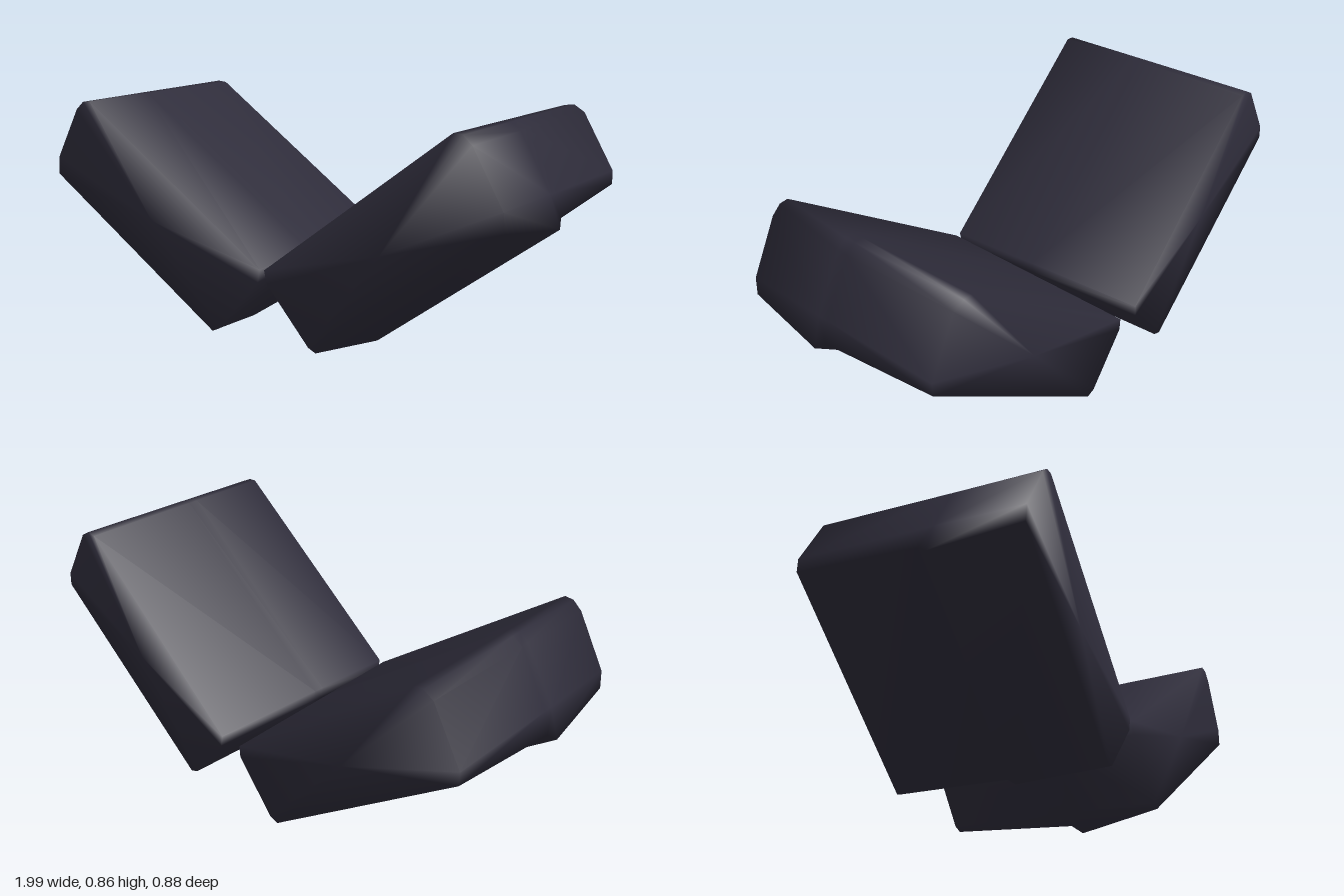
import * as THREE from 'three';

// Cross-sections of one slab from front to back. u runs along the slab,
// v is its thickness; loops go counter-clockwise from the inner top corner.
const front = [[0.184, 0.237], [0.163, 0.191], [0.19, -0.077], [0.207, -0.107], [1.10, -0.107],
  [1.135, -0.05], [1.16, 0.17], [1.15, 0.215], [1.125, 0.237]];
const back = [[0.222, 0.228], [0.2, 0.19], [0.21, -0.05], [0.23, -0.08], [1.136, -0.094],
  [1.165, -0.054], [1.19, 0.176], [1.172, 0.219], [1.14, 0.237]];

// Blend between the ends, with its own pair of lower corners
function middle(t, innerLow, outerLow) {
  const loop = front.map(([u, v], i) => [u + (back[i][0] - u) * t, v + (back[i][1] - v) * t]);
  loop[3] = innerLow;
  loop[4] = outerLow;
  return loop;
}

const sections = [
  { z: 0.39, loop: front },
  { z: 0.068, loop: middle(0.4, [0.234, -0.163], [1.111, -0.163]) }, // lip of the thicker front half
  { z: 0.028, loop: middle(0.45, [0.24, -0.13], [1.117, -0.13]) }, // foot of the step
  { z: -0.44, loop: back },
];

function slabGeometry(side) {
  const angle = Math.atan2(0.587, 0.81);
  const c = Math.cos(angle), s = Math.sin(angle);
  const positions = [], index = [];
  const put = (u, v, z) => positions.push(
    side * (u * c - v * s), u * s + v * c - 0.005, z + 0.05 * (u - 0.17));
  const tri = (a, b, d) => index.push(...(side > 0 ? [a, b, d] : [a, d, b]));
  const n = front.length;

  for (const { z, loop } of sections) for (const [u, v] of loop) put(u, v, z);
  // Skin between neighbouring sections
  for (let k = 0; k < sections.length - 1; k++) {
    for (let i = 0; i < n; i++) {
      const j = (i + 1) % n, f = k * n, b = f + n;
      tri(f + i, b + i, f + j);
      tri(f + j, b + i, b + j);
    }
  }
  // End caps fan out from a centre point
  const frontCentre = sections.length * n, last = frontCentre - n;
  put(0.65, 0.05, 0.39);
  put(0.68, 0.06, -0.44);
  for (let i = 0; i < n; i++) {
    const j = (i + 1) % n;
    tri(frontCentre, i, j);
    tri(frontCentre + 1, last + j, last + i);
  }

  const geometry = new THREE.BufferGeometry();
  geometry.setAttribute('position', new THREE.Float32BufferAttribute(positions, 3));
  geometry.setIndex(index);
  geometry.computeVertexNormals();
  return geometry;
}

export function createModel() {
  const group = new THREE.Group();
  group.name = 'slantedSlabPair';
  const darkSlate = new THREE.MeshStandardMaterial({ color: 0x2e2c3a });
  darkSlate.name = 'dark slate';
  for (const [name, side] of [['leftSlab', 1], ['rightSlab', -1]]) {
    const slab = new THREE.Mesh(slabGeometry(side), darkSlate);
    slab.name = name;
    group.add(slab);
  }
  return group;
}
